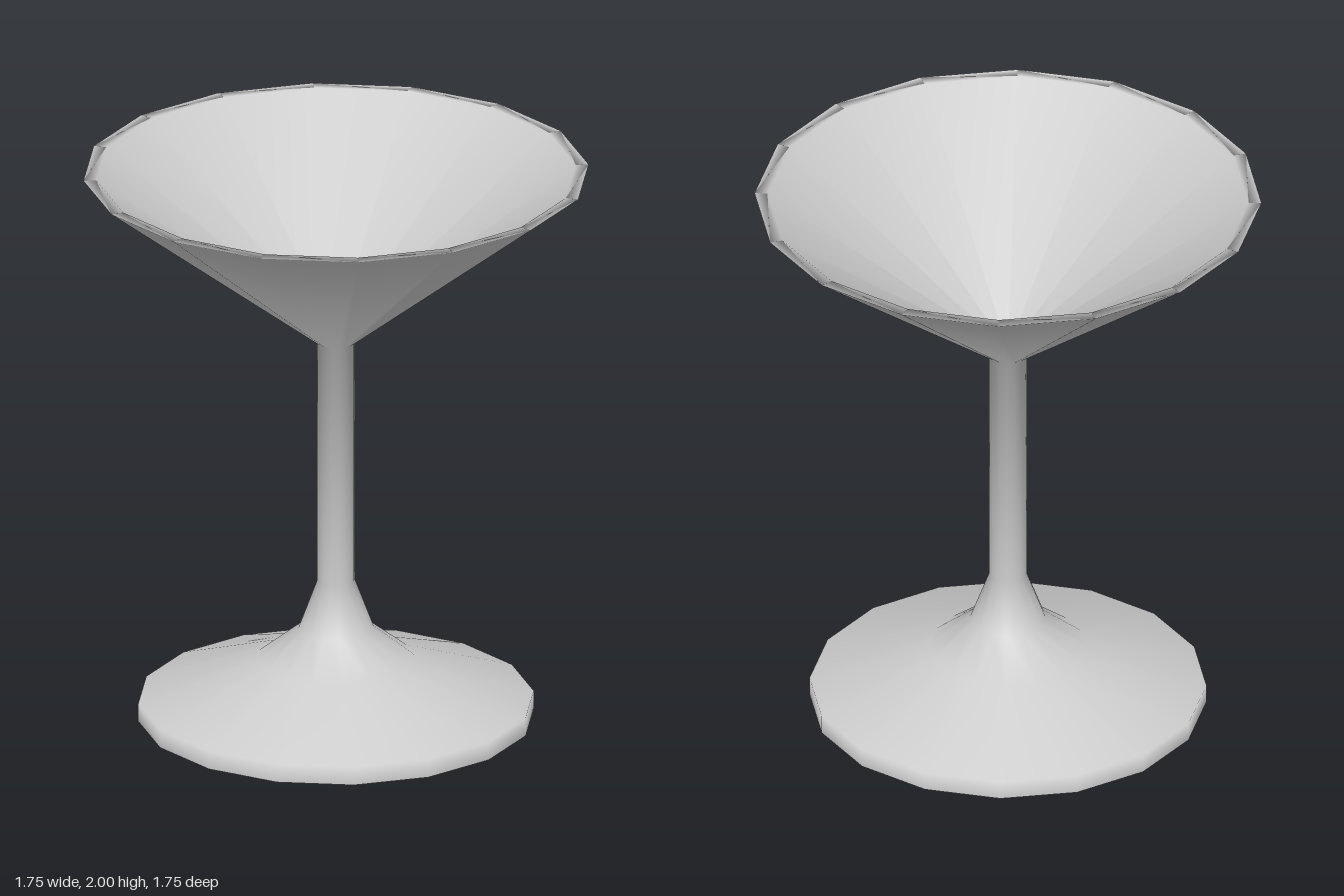
import * as THREE from 'three';

const SIDES = 16;

export function createModel() {
  const group = new THREE.Group();
  group.name = 'cocktailGlass';
  const material = new THREE.MeshStandardMaterial({ color: 0xcccccc });

  // Foot, stem, bowl and bowl interior as one smooth turned profile
  const profile = [
    [0.685, 0], [0.685, 0.065],              // foot edge
    [0.275, 0.21], [0.13, 0.325],            // foot slope
    [0.065, 0.5], [0.065, 1.375],            // stem
    [0.875, 2], [0.83, 2],                   // bowl and rim
    [0, 1.39],                               // inside of the bowl
  ].map(([r, y]) => new THREE.Vector2(r, y));
  const body = new THREE.Mesh(new THREE.LatheGeometry(profile, SIDES), material);
  body.name = 'footStemAndBowl';
  group.add(body);

  // Flat underside closing the foot
  const disc = new THREE.CircleGeometry(0.685, SIDES);
  disc.rotateX(Math.PI / 2);
  const underside = new THREE.Mesh(disc, material);
  underside.name = 'footUnderside';
  group.add(underside);

  return group;
}
